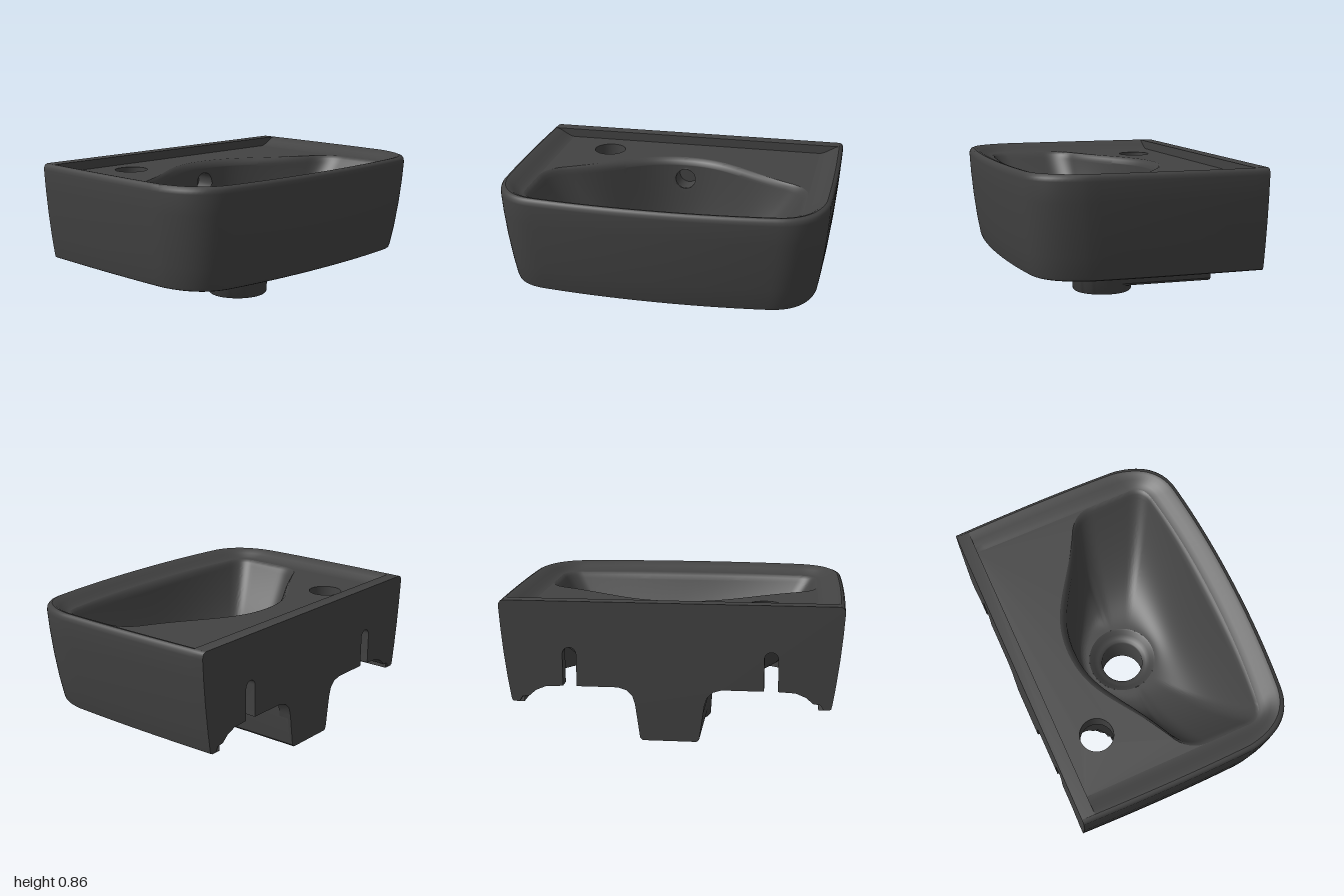
import * as THREE from 'three';
import { toCreasedNormals } from 'three/addons/utils/BufferGeometryUtils.js';

const V2 = (x, y) => new THREE.Vector2(x, y);
const line = (a, b) => new THREE.LineCurve(V2(...a), V2(...b));
const quad = (a, b, c) => new THREE.QuadraticBezierCurve(V2(...a), V2(...b), V2(...c));
const cubic = (a, b, c, d) => new THREE.CubicBezierCurve(V2(...a), V2(...b), V2(...c), V2(...d));

const BACK = -0.71, DRAIN = V2(0, -0.03), DECK = 0.805;
const TAP = V2(-0.53, -0.43), TAP_R = 0.1, TAP_BOTTOM = 0.68;

// Half outline in (x, z) from the back centre round to the front centre, plus its mirror
function outline(parts) {
  const half = [];
  parts.forEach(([curve, n], i) => half.push(...curve.getPoints(n).slice(i ? 1 : 0)));
  const mirrored = half.slice(1, -1).reverse().map(p => V2(-p.x, p.y));
  return [...half, ...mirrored];
}

// Skin over rows of points
function loft(rows, closed) {
  const n = rows[0].length, index = [];
  for (let r = 0; r < rows.length - 1; r++) {
    for (let i = 0; i < (closed ? n : n - 1); i++) {
      const j = (i + 1) % n, a = r * n + i, b = r * n + j, c = a + n, d = b + n;
      index.push(a, c, b, b, c, d);
    }
  }
  const geo = new THREE.BufferGeometry().setFromPoints(rows.flat());
  geo.setIndex(index);
  return geo;
}

// Round hole: snap inner vertices to the circle and drop the faces inside it
function punch(geo, centre, axis, radius, accept) {
  const p = geo.attributes.position, idx = geo.index.array, inside = [], keep = [];
  for (let i = 0; i < p.count; i++) {
    const v = new THREE.Vector3().fromBufferAttribute(p, i);
    const du = v.x - centre.x, dv = v[axis] - centre.y, d = Math.max(Math.hypot(du, dv), 1e-6);
    inside[i] = d < radius && accept(v);
    if (!inside[i]) continue;
    v.x = centre.x + du * radius / d;
    v[axis] = centre.y + dv * radius / d;
    p.setXYZ(i, v.x, v.y, v.z);
  }
  for (let k = 0; k < idx.length; k += 3) {
    const t = [idx[k], idx[k + 1], idx[k + 2]];
    if (!t.every(i => inside[i])) keep.push(...t);
  }
  geo.setIndex(keep);
  return geo;
}

// Underside height: a shallow bulge that climbs to the hollow back corners
const underside = (x, z) => Math.min(0.72, 0.195 + 0.53 * (x * x + (z - DRAIN.y) ** 2)
  + 3.2 * Math.max(0, Math.abs(x) - 0.1) * Math.max(0, -z - 0.25));

export function createModel() {
  const group = new THREE.Group();
  const ceramic = new THREE.MeshStandardMaterial({ color: 0x424242, side: THREE.DoubleSide });
  ceramic.name = 'dark ceramic';
  const add = (name, geo, crease = 0.6) => {
    const mesh = new THREE.Mesh(crease ? toCreasedNormals(geo, crease) : geo, ceramic);
    mesh.name = name;
    group.add(mesh);
    return mesh;
  };

  const NB = 8;
  const outer = outline([
    [line([0, BACK], [0.985, BACK]), NB],
    [quad([0.985, BACK], [1.006, -0.1], [0.99, 0.36]), 14],
    [cubic([0.99, 0.36], [0.965, 0.54], [0.88, 0.65], [0.72, 0.668]), 14],
    [quad([0.72, 0.668], [0.38, 0.71], [0, 0.71]), 14]]);
  const frontCorner = [quad([0.84, 0.4], [0.84, 0.495], [0.74, 0.51]), 14];
  const frontEdge = [quad([0.74, 0.51], [0.4, 0.565], [0, 0.565]), 14];
  const inner = outline([
    [line([0, -0.64], [0.84, -0.64]), NB],
    [line([0.84, -0.64], [0.84, 0.4]), 14], frontCorner, frontEdge]);
  const bowlBack = cubic([0, -0.38], [0.3, -0.38], [0.4, -0.2], [0.74, -0.03]);
  const bowlTurn = quad([0.74, -0.03], [0.84, 0.03], [0.84, 0.14]);
  const bowlEdge = outline([[bowlBack, 44], [bowlTurn, 12],
    [line([0.84, 0.14], [0.84, 0.4]), 10], frontCorner, frontEdge]);

  // Outer walls: height, width scale, front z
  const profile = [[0.26, 0.924, 0.634], [0.266, 0.936, 0.647], [0.285, 0.941, 0.653],
    [0.4, 0.959, 0.673], [0.55, 0.978, 0.692], [0.7, 0.992, 0.706], [0.82, 1, 0.713],
    [0.84, 0.998, 0.711], [0.853, 0.99, 0.703], [0.86, 0.975, 0.688]];
  const section = ([y, sx, front]) => outer.map(p => new THREE.Vector3(
    p.x * sx, y, BACK + (p.y - BACK) * (front - BACK) / 1.42));
  const openLoop = row => row.slice(NB, row.length - NB + 1);
  add('outerWalls', loft(profile.map(s => openLoop(section(s))), false));

  // Rim easing down to the deck
  const rimTop = section(profile[profile.length - 1]);
  const rimSteps = [[0, 0.86], [0.17, 0.855], [0.45, 0.835], [0.7, 0.817], [0.88, 0.808], [1, DECK]];
  const rimRows = rimSteps.map(([u, y]) => rimTop.map((p, i) => new THREE.Vector3(
    THREE.MathUtils.lerp(p.x, inner[i].x, u), y, THREE.MathUtils.lerp(p.z, inner[i].y, u))));
  add('rim', loft(rimRows, true));

  // Tap deck with its hole
  const backEdge = [...bowlBack.getPoints(44), ...bowlTurn.getPoints(12).slice(1)];
  const deck = new THREE.Shape([V2(-0.84, -0.64), V2(0.84, -0.64),
    ...backEdge.slice().reverse(), ...backEdge.slice(1).map(p => V2(-p.x, p.y))]);
  deck.holes.push(new THREE.Path().absarc(TAP.x, TAP.y, TAP_R, 0, Math.PI * 2, true));
  add('tapDeck', new THREE.ShapeGeometry(deck, 24).rotateX(Math.PI / 2).translate(0, DECK, 0), 0);
  add('tapHole', new THREE.CylinderGeometry(TAP_R, TAP_R, DECK - TAP_BOTTOM, 48, 1, true), 0)
    .position.set(TAP.x, (DECK + TAP_BOTTOM) / 2, TAP.y);

  // Bowl: rounded lip, then walls running down to the drain, steepest at the back
  const ring = (edge, offset, s, radius, height) => edge.map(p => {
    const d = p.clone().sub(DRAIN), len = d.length();
    const q = d.multiplyScalar(THREE.MathUtils.lerp(len - offset, radius, s) / len).add(DRAIN);
    return new THREE.Vector3(q.x, height(q.x, q.y), q.y);
  });
  const steepness = (x, z) =>
    2 + 2.6 * THREE.MathUtils.smoothstep((DRAIN.y - z) / Math.hypot(x, z - DRAIN.y), -0.1, 0.5);
  const bowlRows = [[0, DECK], [0.01, 0.801], [0.025, 0.787]].map(([o, y]) =>
    ring(bowlEdge, o, 0, 0.21, () => y));
  for (let i = 0; i <= 44; i++) {
    const s = (i / 44) ** 1.6;
    bowlRows.push(ring(bowlEdge, 0.04, s, 0.21,
      (x, z) => 0.295 + 0.47 * (1 - s) ** steepness(x, z)));
  }
  const OVERFLOW = V2(0, 0.67);
  add('bowl', punch(loft(bowlRows, true), OVERFLOW, 'y', 0.065, v => v.z < -0.2));

  // Overflow hole in the back of the bowl
  const overflow = [[0, 0], [0.065, 0], [0.065, 0.125]].map(p => V2(...p));
  add('overflowHole', new THREE.LatheGeometry(overflow, 32).rotateX(Math.PI / 2))
    .position.set(0, OVERFLOW.y, -0.46);

  // Drain recess, bore and outlet neck
  const drain = [[0.21, 0.295], [0.2, 0.289], [0.18, 0.269], [0.155, 0.251], [0.137, 0.246],
    [0.13, 0.235], [0.13, 0], [0.178, 0], [0.186, 0.008], [0.197, 0.19], [0.203, 0.207],
    [0.215, 0.222]];
  add('drainOutlet', new THREE.LatheGeometry(drain.map(p => V2(...p)), 56), 0.8)
    .position.z = DRAIN.y;

  // Underside of the bowl inside a D-shaped recess
  const recess = outline([
    [line([0, BACK], [0.85, BACK]), 30],
    [cubic([0.85, BACK], [0.85, -0.4], [0.86, -0.2], [0.78, -0.02]), 28],
    [cubic([0.78, -0.02], [0.68, 0.2], [0.4, 0.33], [0, 0.33]), 30]]);
  const underRows = [];
  for (let i = 0; i <= 24; i++) underRows.push(ring(recess, 0, i / 24, 0.2, underside));
  add('bowlUnderside', punch(loft(underRows, true), TAP, 'z', TAP_R, () => true));
  const recessFront = recess.slice(30, recess.length - 29);
  add('recessWall', loft([() => 0.26, underside].map(h =>
    recessFront.map(p => new THREE.Vector3(p.x, h(p.x, p.y), p.y))), false));

  // Flat bottom around the recess
  const bottom = openLoop(section(profile[0])).map(p => V2(p.x, p.z));
  const base = new THREE.Shape([...bottom, ...recessFront.slice().reverse()]);
  add('bottomFace', new THREE.ShapeGeometry(base).rotateX(Math.PI / 2).translate(0, 0.26, 0), 0);

  // Back wall with mounting notches, keyhole slots and a centre tongue
  const slot = [];
  for (let i = 0; i <= 10; i++) {
    const a = Math.PI * i / 10;
    slot.push([0.58 + 0.04 * Math.cos(a), 0.55 + 0.04 * Math.sin(a)]);
  }
  const lower = [[0.88, 0.26], [0.86, 0.29], [0.82, 0.295], [0.78, 0.33], [0.72, 0.355],
    [0.62, 0.36], ...slot, [0.54, 0.36], [0.3, 0.36], [0.25, 0.345], [0.215, 0.31],
    [0.2, 0.26], [0.172, 0.06], [0.157, 0.045]];
  const rightHalf = [...profile.slice().reverse().map(([y, sx]) => [0.985 * sx, y]), ...lower];
  const wall = new THREE.Shape([...rightHalf.map(p => V2(...p)),
    ...rightHalf.slice().reverse().map(([x, y]) => V2(-x, y))]);
  add('backWall', new THREE.ExtrudeGeometry(wall, { depth: 0.08, bevelEnabled: false })
    .translate(0, 0, BACK));

  // Arm joining the outlet to the back wall, open round the drain bore
  for (const side of [-1, 1]) {
    const rows = [];
    for (let i = 0; i <= 30; i++) {
      const z = THREE.MathUtils.lerp(BACK + 0.02, -0.1, i / 30);
      const bore = Math.sqrt(Math.max(0, 0.16 ** 2 - (z - DRAIN.y) ** 2));
      rows.push([[0.2, underside(0.2, z) + 0.003], [0.196, 0.22], [0.172, 0.06],
        [0.157, 0.045], [bore, 0.045]].map(([x, y]) => new THREE.Vector3(side * x, y, z)));
    }
    add('outletArm', loft(rows, false));
  }

  return group;
}
